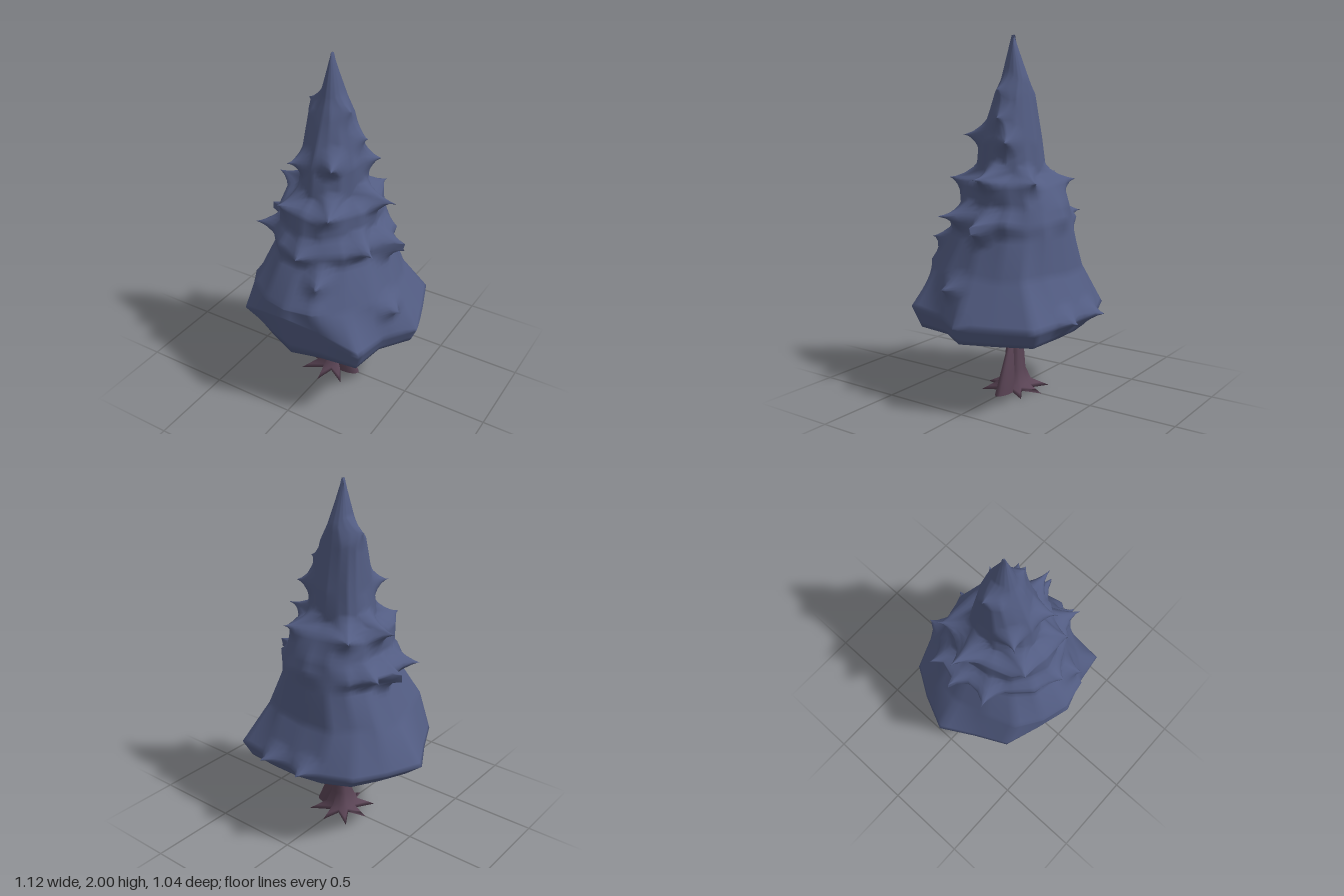
import * as THREE from 'three';

const SIDES = 16;
const SUB = 5; // subdivisions between outline corners

// Outline radius of the skirt every 22.5 degrees, from +x towards +z
const SKIRT = [0.56, 0.475, 0.585, 0.49, 0.515, 0.485, 0.52, 0.49,
  0.56, 0.51, 0.515, 0.475, 0.455, 0.475, 0.58, 0.53];

// Upper foliage: height, reach to +x, +z, -x, -z, raggedness
const TIERS = [
  [0.72, 0.41, 0.505, 0.40, 0.35, 0.02],
  [0.93, 0.32, 0.37, 0.30, 0.325, 0.015],
  [1.00, 0.33, 0.38, 0.33, 0.32, 0.03],
  [1.08, 0.27, 0.33, 0.27, 0.30, 0.015],
  [1.20, 0.27, 0.32, 0.27, 0.24, 0.03],
  [1.25, 0.19, 0.23, 0.18, 0.155, 0.02],
  [1.43, 0.19, 0.20, 0.155, 0.135, 0.03],
  [1.68, 0.115, 0.11, 0.135, 0.095, 0.02],
  [1.76, 0.07, 0.08, 0.07, 0.08, 0.0],
  [2.00, 0.004, 0.02, 0.004, -0.012, 0.0],
];

// Tips of the jutting boughs; pairs close together make blunt ends
const TIPS = [
  [0.555, 0.48, 0.01], [0.51, 0.66, 0.13], [-0.10, 0.50, -0.53], [0.17, 0.50, -0.52],
  [0.17, 0.87, 0.46], [-0.43, 1.01, -0.02], [-0.43, 0.97, -0.02], [0.45, 1.0, -0.02],
  [0.45, 0.96, -0.02], [-0.40, 1.01, -0.19], [-0.39, 1.00, 0.20], [0.39, 1.03, 0.24],
  [0.03, 1.00, 0.43], [-0.38, 1.23, -0.03], [0.39, 1.24, 0.0], [0.17, 1.22, 0.33],
  [-0.24, 1.21, -0.25], [0.19, 1.22, -0.27], [-0.16, 1.22, 0.31], [0.14, 1.46, 0.25],
  [-0.15, 1.43, 0.22], [0.24, 1.43, -0.10], [0.20, 1.56, -0.02], [-0.15, 1.73, 0.0],
  [0.13, 1.71, 0.03],
].map((p) => new THREE.Vector3(...p));

// Closed smooth surface through rings of equal length, each ring ordered +x to +z
function loft(rings, bottom, top) {
  const n = rings[0].length;
  const pts = [...rings.flat(), bottom, top];
  const index = [];
  const b = rings.length * n, t = b + 1, last = (rings.length - 1) * n;
  for (let i = 0; i < n; i++) {
    const j = (i + 1) % n;
    for (let r = 0; r < rings.length - 1; r++) {
      const o = r * n, u = o + n;
      index.push(o + i, u + i, o + j, o + j, u + i, u + j);
    }
    index.push(b, i, j, t, last + j, last + i);
  }
  const g = new THREE.BufferGeometry().setFromPoints(pts);
  g.setIndex(index);
  g.computeVertexNormals();
  return g;
}

const polar = (a, r, y) => new THREE.Vector3(Math.cos(a) * r, y, Math.sin(a) * r);

function makeRing(fn) {
  return Array.from({ length: SIDES }, (_, i) => fn(i, (i / SIDES) * Math.PI * 2));
}

// Straight-edged subdivision of a ring
function refine(ring) {
  return ring.flatMap((p, i) => Array.from({ length: SUB }, (_, k) =>
    p.clone().lerp(ring[(i + 1) % ring.length], k / SUB)));
}

function foliageGeometry() {
  // Skirt: hem, then its widest outline, which peaks at the front
  const keys = [
    makeRing((i, a) => polar(a, SKIRT[i] * (0.87 + 0.05 * Math.cos(a)),
      0.40 - 0.01 * Math.cos(a - 0.5))),
    makeRing((i, a) => polar(a, SKIRT[i], 0.49 + 0.18 * Math.max(0, Math.sin(a)) ** 6)),
  ];
  // Upper tiers, squarer at the back
  TIERS.forEach(([y, px, pz, nx, nz, rag], k) => {
    keys.push(makeRing((i, a) => {
      const c = Math.cos(a), s = Math.sin(a);
      const m = 1 + rag * Math.sin(i * 2.4 + k * 1.7) * 1.5;
      const square = s < 0 ? 0.82 : 1;
      return new THREE.Vector3(
        Math.sign(c) * Math.abs(c) ** square * (c > 0 ? px : nx) * m,
        y + rag * 0.5 * Math.cos(i * 1.9 + k),
        Math.sign(s) * Math.abs(s) ** square * (s > 0 ? pz : nz) * m);
    }));
  });

  // Fill in rings between the key outlines
  const coarse = keys.map(refine);
  const rings = [];
  coarse.forEach((ring, k) => {
    const next = coarse[k + 1];
    if (!next) return rings.push(ring.map((p) => p.clone()));
    const steps = Math.max(2, Math.round((next[0].y - ring[0].y) / 0.022));
    for (let s = 0; s < steps; s++) {
      rings.push(ring.map((p, i) => p.clone().lerp(next[i], s / steps)));
    }
  });

  // Draw the nearby surface out to each bough tip
  for (const p of rings.flat()) {
    if (p.y > 1.8) continue;
    const r = Math.hypot(p.x, p.z), a = Math.atan2(p.z, p.x);
    let best = 0, tip = null;
    for (const t of TIPS) {
      let da = Math.abs(a - Math.atan2(t.z, t.x));
      da = Math.min(da, Math.PI * 2 - da);
      const w = Math.min(1, 1.15 - Math.hypot(da * r, (p.y - t.y) * 1.15) / 0.08);
      if (w > best) { best = w; tip = t; }
    }
    if (tip) p.lerp(tip, best ** 1.15);
  }
  return loft(rings, new THREE.Vector3(0, 0.41, 0), new THREE.Vector3(0, 2, 0.01));
}

// Tapered limb between two points
function limb(from, to, r0, r1, material, name) {
  const a = new THREE.Vector3(...from), d = new THREE.Vector3(...to).sub(a);
  const mesh = new THREE.Mesh(new THREE.CylinderGeometry(r1, r0, d.length(), 6), material);
  mesh.position.copy(a).addScaledVector(d, 0.5);
  mesh.quaternion.setFromUnitVectors(new THREE.Vector3(0, 1, 0), d.normalize());
  mesh.name = name;
  return mesh;
}

export function createModel() {
  const needles = new THREE.MeshStandardMaterial({ color: 0x525c82 });
  needles.name = 'dusky blue needles';
  const bark = new THREE.MeshStandardMaterial({ color: 0x5a4455 });
  bark.name = 'plum bark';

  const model = new THREE.Group();
  model.name = 'firTree';

  const foliage = new THREE.Mesh(foliageGeometry(), needles);
  foliage.name = 'foliage';
  model.add(foliage);

  // Trunk flaring into a star of roots: height, valley radius, root radius
  const trunkRings = [[0, 0.075, 0.19], [0.02, 0.07, 0.15], [0.05, 0.055, 0.09],
    [0.12, 0.045, 0.06], [0.28, 0.038, 0.048], [0.42, 0.036, 0.042]]
    .map(([y, valley, root]) => makeRing((i, a) =>
      polar(a, i % 2 ? valley : root * (1 + 0.05 * Math.sin(a + i)), y)));
  const trunk = new THREE.Mesh(
    loft(trunkRings, new THREE.Vector3(), new THREE.Vector3(0, 0.42, 0)), bark);
  trunk.name = 'trunk';
  model.add(trunk);

  // Tall, thin buttress root on one side
  const buttress = new THREE.Mesh(loft(
    [[0, 0.09, 0.09], [0.30, 0.025, 0.025]].map(([y, x, r]) =>
      makeRing((i, a) => new THREE.Vector3(x + r * Math.cos(a), y, 0.45 * r * Math.sin(a)))),
    new THREE.Vector3(0.09, 0, 0), new THREE.Vector3(0.025, 0.30, 0)), bark);
  buttress.name = 'buttressRoot';
  model.add(buttress);

  // Bare lower branches
  for (const s of [-1, 1]) {
    model.add(limb([s * 0.02, 0.285, 0], [s * 0.285, 0.365, 0], 0.018, 0.008, bark, 'sideBranch'));
    for (const f of [-1, 1]) {
      model.add(limb([s * 0.015, 0.29, f * 0.02], [s * 0.135, 0.365, f * 0.2],
        0.016, 0.008, bark, 'diagonalBranch'));
    }
  }
  return model;
}
